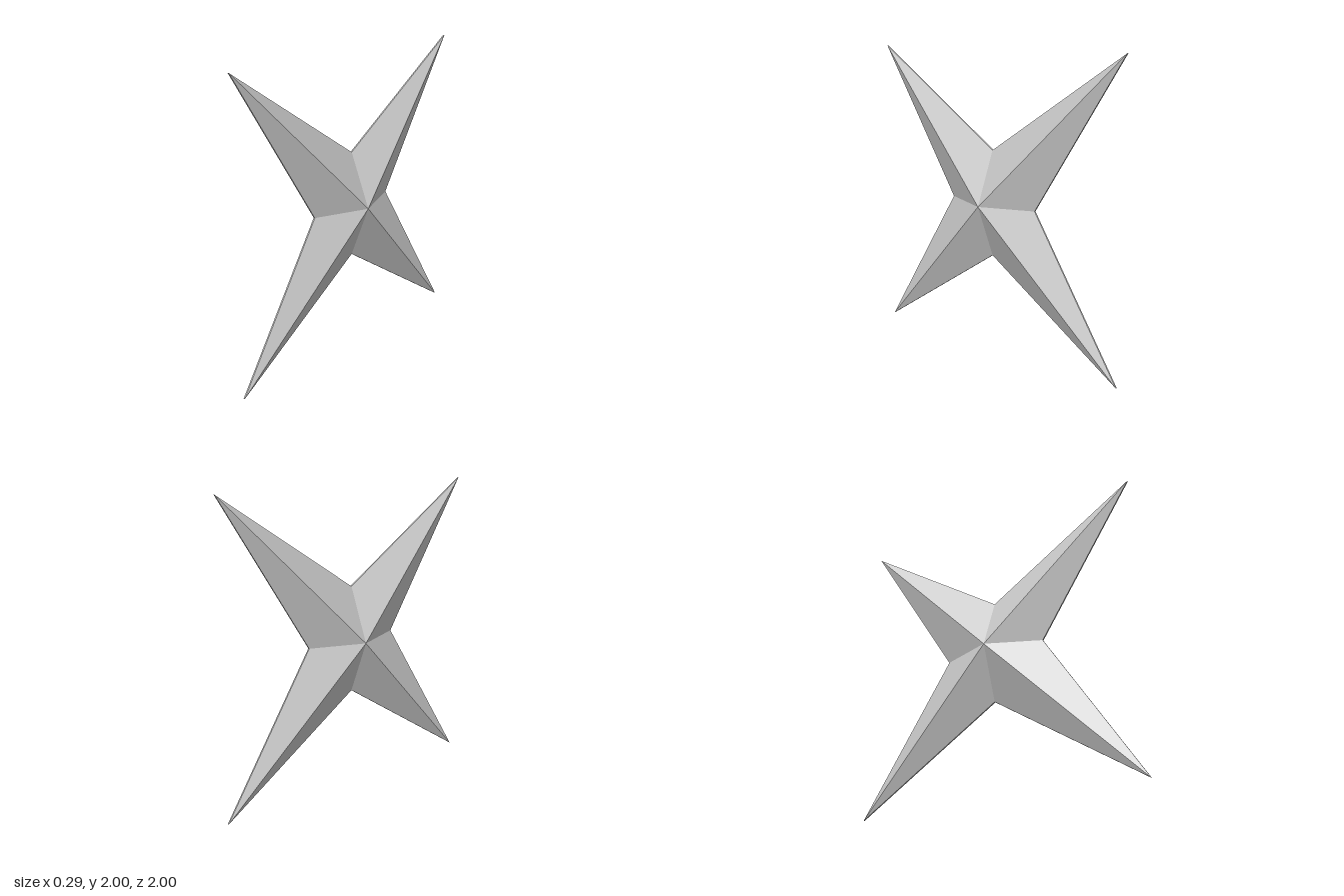
import * as THREE from 'three';

const TIP = Math.SQRT2;   // centre to point
const VALLEY = 0.354;     // centre to notch between points
const APEX = 0.147;       // half thickness at the centre
const RIM = 0.005;        // half thickness at the edge

export function createModel() {
  const group = new THREE.Group();
  group.name = 'throwingStar';
  const material = new THREE.MeshStandardMaterial({ color: 0xcccccc, flatShading: true });

  // Outline corner i in the y-z plane: notches on the axes, points on the diagonals
  const corner = (i, x) => {
    const r = i % 2 ? TIP : VALLEY;
    const a = (i * Math.PI) / 4;
    return [x, r * Math.cos(a), r * Math.sin(a)];
  };

  const addMesh = (name, triangles) => {
    const geometry = new THREE.BufferGeometry();
    geometry.setAttribute('position', new THREE.Float32BufferAttribute(triangles.flat(), 3));
    geometry.computeVertexNormals();
    const mesh = new THREE.Mesh(geometry, material);
    mesh.name = name;
    mesh.position.y = 1;
    group.add(mesh);
  };

  const left = [], right = [], rim = [];
  for (let i = 0; i < 8; i++) {
    const a = corner(i, RIM), b = corner(i + 1, RIM);
    const c = corner(i + 1, -RIM), d = corner(i, -RIM);
    left.push([APEX, 0, 0], a, b);
    right.push([-APEX, 0, 0], c, d);
    rim.push(d, c, b, d, b, a);
  }

  // Faceted faces rising to a central apex on each side, joined by a thin edge
  addMesh('leftFacets', left);
  addMesh('rightFacets', right);
  addMesh('edgeRim', rim);
  return group;
}
